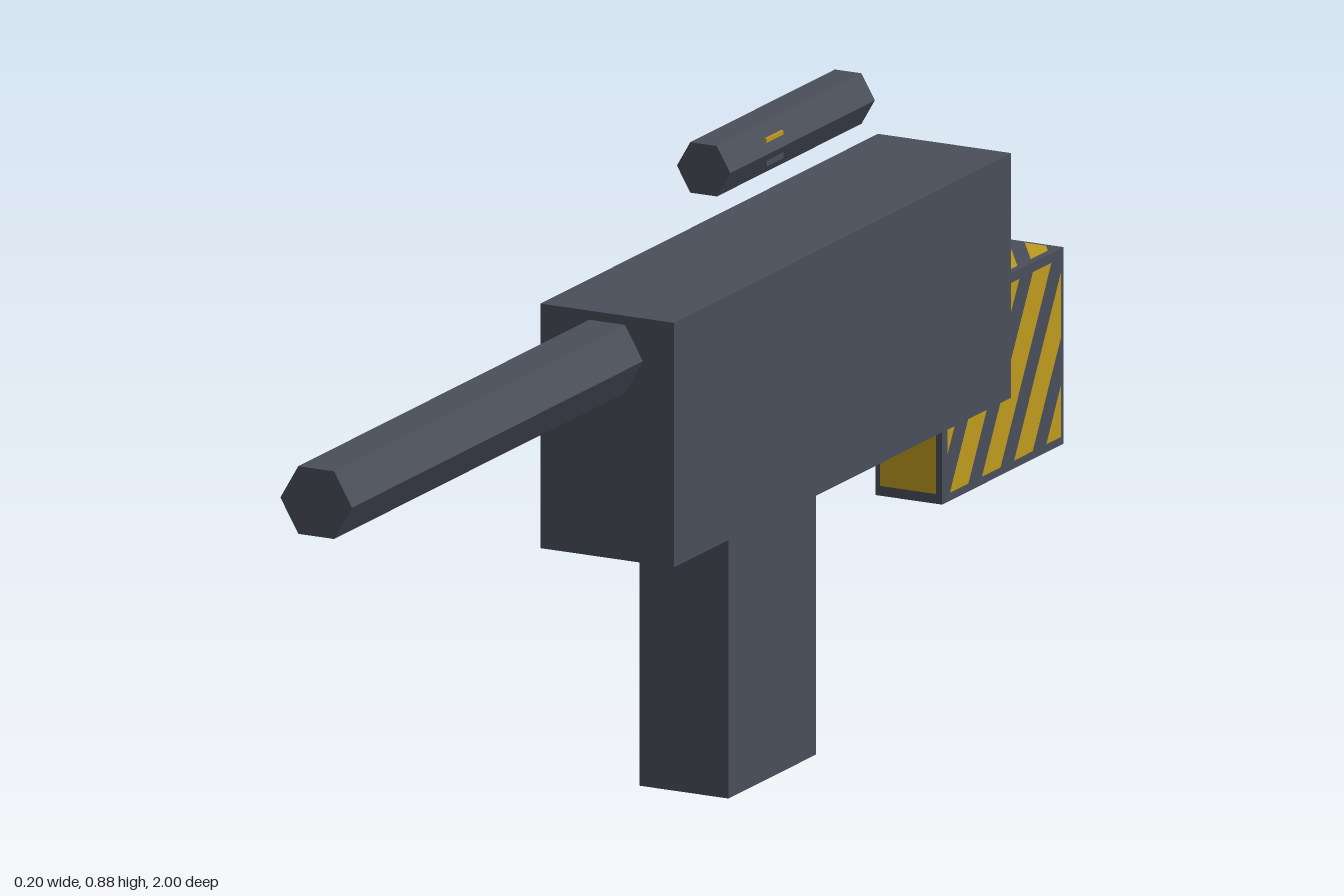
import * as THREE from 'three';

const slate = new THREE.MeshStandardMaterial({ name: 'slate', color: 0x494e5a });
const yellow = new THREE.MeshStandardMaterial({ name: 'hazardYellow', color: 0xbf9b1e });

// Box given by its limits on each axis
function box(name, material, [x0, x1], [y0, y1], [z0, z1]) {
  const mesh = new THREE.Mesh(new THREE.BoxGeometry(x1 - x0, y1 - y0, z1 - z0), material);
  mesh.name = name;
  mesh.position.set((x0 + x1) / 2, (y0 + y1) / 2, (z0 + z1) / 2);
  return mesh;
}

// Six-sided rod along z with flats at top and bottom
function hexRod(name, radius, y, z0, z1) {
  const geometry = new THREE.CylinderGeometry(radius, radius, z1 - z0, 6).toNonIndexed();
  geometry.rotateY(Math.PI / 2).rotateX(Math.PI / 2);
  geometry.computeVertexNormals();
  const mesh = new THREE.Mesh(geometry, slate);
  mesh.name = name;
  mesh.position.set(0, y, (z0 + z1) / 2);
  return mesh;
}

// Keep the part of a polygon where distance(point) >= 0
function clip(points, distance) {
  return points.flatMap((a, i) => {
    const b = points[(i + 1) % points.length];
    const da = distance(a), db = distance(b);
    const kept = da >= 0 ? [a] : [];
    if (da * db < 0) kept.push(a.clone().lerp(b, da / (da - db)));
    return kept;
  });
}

// Slanted stripes trimmed to a w by h rectangle; lean is x travel per unit of height
function stripes(w, h, period, width, lean, phase) {
  const shapes = [];
  for (let k = -10; k <= 10; k++) {
    const c = phase + k * period;
    let p = [[-w, -h], [w, -h], [w, h], [-w, h]].map(([x, y]) => new THREE.Vector2(x / 2, y / 2));
    p = clip(p, (v) => v.x - lean * v.y - c + width / 2);
    p = clip(p, (v) => c + width / 2 - v.x + lean * v.y);
    if (p.length > 2) shapes.push(new THREE.Shape(p));
  }
  return new THREE.ShapeGeometry(shapes);
}

function createModel() {
  const model = new THREE.Group();
  model.name = 'blaster';

  // Main parts
  model.add(
    box('body', slate, [-0.1, 0.1], [0.375, 0.711], [-0.76, 0.185]),
    box('grip', slate, [-0.067, 0.067], [0, 0.375], [-0.275, -0.03]),
    hexRod('barrel', 0.0537, 0.652, 0.15, 1),
    hexRod('sight', 0.04, 0.842, -0.49, -0.085),
  );

  // Small insert whose corners poke through the sight
  model.add(
    box('sightMark', yellow, [-0.033, 0.033], [0.842, 0.86], [-0.247, -0.2]),
    box('sightMarkBase', slate, [-0.033, 0.033], [0.822, 0.842], [-0.247, -0.2]),
  );

  // Stock with a dark border around each painted face
  const stock = new THREE.Group();
  stock.name = 'stock';
  stock.position.set(0, 0.381, -0.83);
  stock.add(box('stockBlock', slate, [-0.05, 0.05], [-0.135, 0.135], [-0.17, 0.17]));
  const paint = (name, geometry, position, rx, ry) => {
    const mesh = new THREE.Mesh(geometry, yellow);
    mesh.name = name;
    mesh.position.set(...position);
    mesh.rotation.set(rx, ry, 0);
    stock.add(mesh);
  };
  const side = stripes(0.318, 0.246, 0.09, 0.052, 0.58, -0.055);
  const quarter = Math.PI / 2;
  paint('leftStripes', side, [0.052, 0, 0], 0, quarter);
  paint('rightStripes', side, [-0.052, 0, 0], 0, -quarter);
  paint('topStripes', stripes(0.086, 0.318, 0.057, 0.032, -0.67, 0.006), [0, 0.137, 0], -quarter, 0);
  paint('bottomPanel', new THREE.PlaneGeometry(0.084, 0.31), [0, -0.137, 0], quarter, 0);
  const end = new THREE.PlaneGeometry(0.084, 0.242);
  paint('frontPanel', end, [0, 0, 0.172], 0, 0);
  paint('backPanel', end, [0, 0, -0.172], 0, Math.PI);
  model.add(stock);

  return model;
}

export { createModel };
